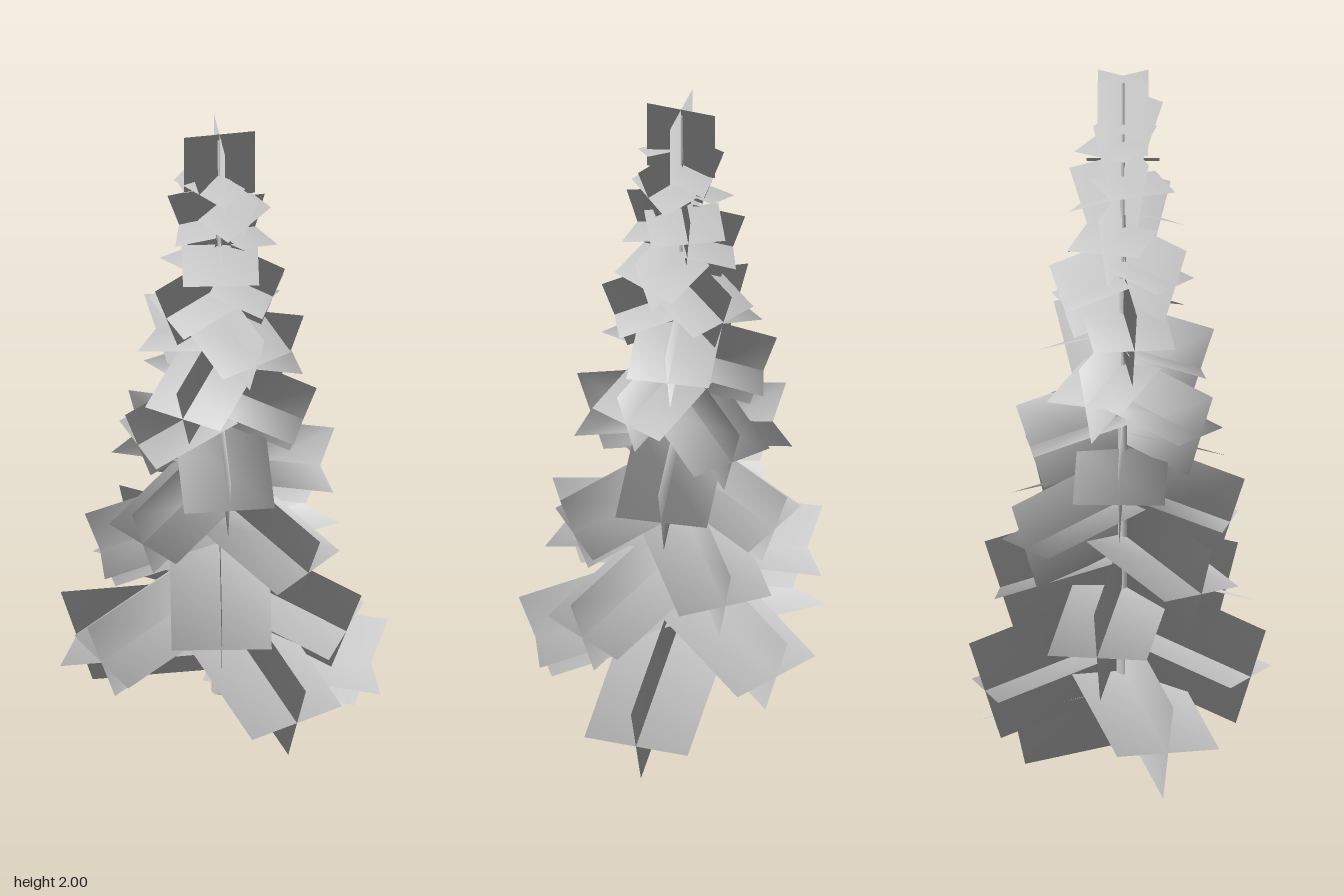
import * as THREE from 'three';

const DROOP = 0.32; // radians below horizontal
const COUNT = 34;
const GOLDEN = 222.5;
const TRUNK = new THREE.Vector3(-0.02, 0, -0.01);
const CROWN_CENTRE = new THREE.Vector3(0, 0.95, 0);

// Compass angle of each branch in degrees (x towards z); the rest follow the golden angle
const ANGLES = [-1, 207, 67, 300, 157.5, 29, 236, 98, 321, 183.5, 49, 285.5, 144, 353,
  227, 93, 309, 164.5, 22, 252, 127];
const NUDGED = { 23: 65, 28: 97, 31: 45, 32: 267 };

// Soft foliage shading: normals radiate from the crown centre, faces wound to agree with them
function shadeFromCentre(geometry) {
  const { position, normal } = geometry.attributes;
  const face = new THREE.Vector3().fromBufferAttribute(normal, 0);
  const ray = new THREE.Vector3();
  let agreement = 0;
  for (let i = 0; i < position.count; i++) {
    ray.fromBufferAttribute(position, i).sub(CROWN_CENTRE).normalize();
    agreement += ray.dot(face);
    normal.setXYZ(i, ray.x, ray.y, ray.z);
  }
  if (agreement < 0) geometry.index.array.reverse();
}

export function createModel() {
  const tree = new THREE.Group();
  tree.name = 'conifer';
  const bark = new THREE.MeshStandardMaterial({ color: 0xcccccc });
  const foliage = new THREE.MeshStandardMaterial({ color: 0xcccccc, side: THREE.DoubleSide });

  // Two crossed cards sharing an axis that leaves the trunk at a height, heading and pitch
  function addCrossedCards(name, length, width, height, heading, pitch) {
    const group = new THREE.Group();
    group.name = name;
    const placement = new THREE.Matrix4()
      .makeRotationFromEuler(new THREE.Euler(0, -heading, pitch, 'YXZ'))
      .setPosition(TRUNK.x, height, TRUNK.z);
    for (const turn of [0, Math.PI / 2]) {
      const geometry = new THREE.PlaneGeometry(length, width);
      geometry.translate(length / 2, 0, 0).rotateX(turn - Math.PI / 2).applyMatrix4(placement);
      shadeFromCentre(geometry);
      const card = new THREE.Mesh(geometry, foliage);
      card.name = turn ? 'uprightCard' : 'flatCard';
      group.add(card);
    }
    tree.add(group);
  }

  const trunk = new THREE.Mesh(new THREE.CylinderGeometry(0.005, 0.022, 1.88, 8), bark);
  trunk.name = 'trunk';
  trunk.position.copy(TRUNK).setY(1.04);
  tree.add(trunk);

  // Drooping branches spiral up, getting shorter and narrower
  for (let i = 0; i < COUNT; i++) {
    const reach = 0.42 - 0.0103 * i;
    const heading = THREE.MathUtils.degToRad(ANGLES[i] ?? NUDGED[i] ?? i * GOLDEN);
    addCrossedCards('branch', reach / Math.cos(DROOP), 0.295 - 0.0031 * i,
      0.28 + 0.048 * i, heading, -DROOP);
  }

  // Upright tip
  addCrossedCards('tip', 0.21, 0.195, 1.79, 0, Math.PI / 2);

  return tree;
}
